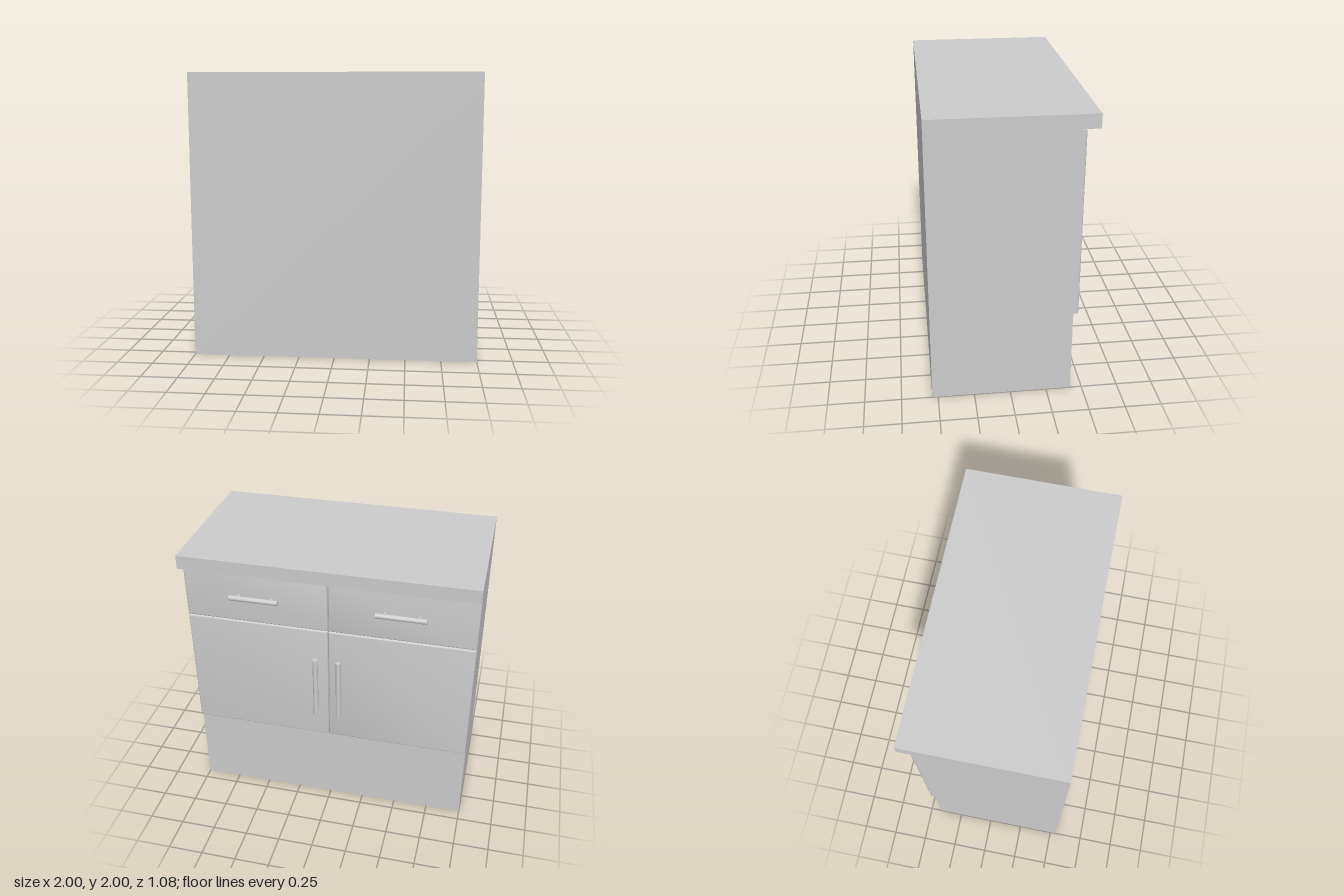
import * as THREE from 'three';
import { toCreasedNormals } from 'three/addons/utils/BufferGeometryUtils.js';

const material = new THREE.MeshStandardMaterial({ color: 0xcccccc });
const FRONT = -0.455; // plane of the door and drawer faces
const BAR_Z = -0.498; // axis of the handle bars

function add(parent, name, geometry, x = 0, y = 0, z = 0) {
  const mesh = new THREE.Mesh(geometry, material);
  mesh.name = name;
  mesh.position.set(x, y, z);
  parent.add(mesh);
  return mesh;
}

// Panel with softly rounded edges, its face on the FRONT plane
function panel(parent, name, x0, x1, y0, y1) {
  const b = 0.013;
  const shape = new THREE.Shape([
    new THREE.Vector2(x0 + b, y0 + b), new THREE.Vector2(x1 - b, y0 + b),
    new THREE.Vector2(x1 - b, y1 - b), new THREE.Vector2(x0 + b, y1 - b),
  ]);
  const geometry = new THREE.ExtrudeGeometry(shape, {
    depth: 0.03, bevelThickness: b, bevelSize: b, bevelSegments: 5,
  });
  add(parent, name, toCreasedNormals(geometry, 0.6), 0, 0, FRONT + b);
}

// Upright bar handle on two posts
function handle(name, length, spacing) {
  const group = new THREE.Group();
  group.name = name;
  add(group, 'bar', new THREE.CylinderGeometry(0.018, 0.018, length, 24), 0, 0, BAR_Z);
  const postLength = FRONT - BAR_Z + 0.01;
  for (const s of [-1, 1]) {
    const post = new THREE.CylinderGeometry(0.01, 0.01, postLength, 16).rotateX(Math.PI / 2);
    post.scale(0.85, 1.25, 1);
    add(group, 'post', post, 0, s * spacing / 2, (FRONT + 0.01 + BAR_Z) / 2);
  }
  return group;
}

export function createModel() {
  const model = new THREE.Group();
  model.name = 'cabinet';

  // Carcass and overhanging worktop
  add(model, 'carcass', new THREE.BoxGeometry(2, 1.905, 0.96), 0, 0.9525, 0.06);
  add(model, 'worktop', new THREE.BoxGeometry(2, 0.095, 1.08), 0, 1.9525, 0);

  // Mirrored doors and drawers with their handles
  for (const s of [-1, 1]) {
    const x0 = s < 0 ? -1 : 0.002;
    const x1 = s < 0 ? -0.002 : 1;
    panel(model, 'door', x0, x1, 0.603, 1.5);
    panel(model, 'drawerFront', x0, x1, 1.502, 1.904);

    const doorHandle = handle('doorHandle', 0.465, 0.325);
    doorHandle.position.set(s * 0.082, 1.053, 0);
    const drawerHandle = handle('drawerHandle', 0.34, 0.23);
    drawerHandle.rotation.z = Math.PI / 2;
    drawerHandle.position.set(s * 0.5, 1.705, 0);
    model.add(doorHandle, drawerHandle);
  }
  return model;
}
